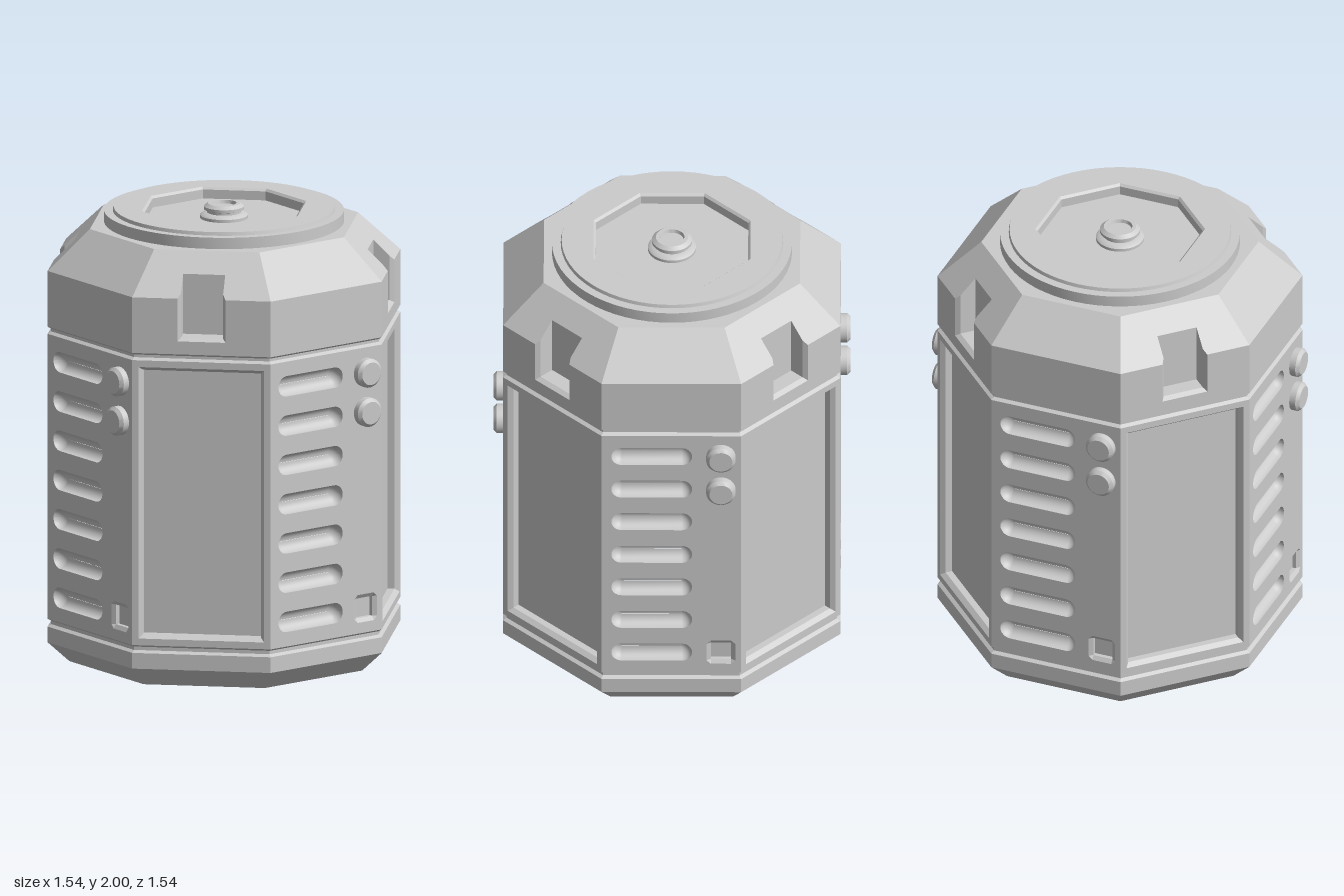
import * as THREE from 'three';
import { toCreasedNormals } from 'three/addons/utils/BufferGeometryUtils.js';

const smooth = new THREE.MeshStandardMaterial({ color: 0xcccccc });
const flat = new THREE.MeshStandardMaterial({ color: 0xcccccc, flatShading: true });

const A = 0.73;                              // distance from axis to each side wall
const T = Math.tan(Math.PI / 8);
const HALF = A * T;                          // half width of a side wall
const BODY = [0.195, 1.465], SHOULDER = [1.497, 1.745, 1.92];
const TOP = 0.555;                           // centre to side of the top octagon

const V2 = (p) => new THREE.Vector2(p[0], p[1]);

function add(parent, name, geometry, material = flat) {
  const mesh = new THREE.Mesh(geometry, material);
  mesh.name = name;
  parent.add(mesh);
  return mesh;
}

// Eight-sided lathe; profile gives [distance to side, y]
function octagonal(profile) {
  const k = 1 / Math.cos(Math.PI / 8);
  return new THREE.LatheGeometry(profile.map(([a, y]) => new THREE.Vector2(a * k, y)), 8, Math.PI / 8);
}

// Round lathe with sharp edges kept
const round = (profile, segments) =>
  toCreasedNormals(new THREE.LatheGeometry(profile.map(V2), segments), 0.5);

// Rounded rectangle outline, counter-clockwise, shrunk by inset
function outline({ x, y, w, h, r = 0, seg = 0 }, inset = 0) {
  const pts = [], rad = Math.max(r - inset, 0);
  const hw = w - inset - rad, hh = h - inset - rad;
  [[1, 1], [-1, 1], [-1, -1], [1, -1]].forEach(([sx, sy], q) => {
    for (let i = 0; i <= seg; i++) {
      const a = (q + (seg ? i / seg : 0.5)) * Math.PI / 2;
      pts.push([x + sx * hw + rad * Math.cos(a), y + sy * hh + rad * Math.sin(a)]);
    }
  });
  return pts;
}

// Flat sheet with openings
function sheet(points, holes = []) {
  const shape = new THREE.Shape(points.map(V2));
  holes.forEach((h) => shape.holes.push(new THREE.Path(h.map(V2))));
  return new THREE.ShapeGeometry(shape);
}

// Sides of a recess, lofted through rings of [outline, z]
function loft(rings) {
  const n = rings[0][0].length, pos = [], idx = [];
  rings.forEach(([pts, z]) => pts.forEach((p) => pos.push(p[0], p[1], z)));
  for (let k = 0; k < rings.length - 1; k++) {
    for (let i = 0; i < n; i++) {
      const a = k * n + i, b = k * n + (i + 1) % n;
      idx.push(a, b, b + n, a, b + n, a + n);
    }
  }
  const g = new THREE.BufferGeometry();
  g.setAttribute('position', new THREE.Float32BufferAttribute(pos, 3));
  g.setIndex(idx);
  g.computeVertexNormals();
  return g;
}

// Recess with straight steps [inset, depth] and a flat floor
function recess(parent, name, spec, steps) {
  const rings = steps.map(([inset, d]) => [outline(spec, inset), -d]);
  const last = rings[rings.length - 1];
  add(parent, name + 'Sides', loft(rings));
  add(parent, name + 'Floor', sheet(last[0])).position.z = last[1];
}

// Convex polygons given as corner lists
function polygons(list) {
  const pos = [];
  list.forEach((p) => {
    for (let i = 1; i < p.length - 1; i++) pos.push(...p[0], ...p[i], ...p[i + 1]);
  });
  const g = new THREE.BufferGeometry();
  g.setAttribute('position', new THREE.Float32BufferAttribute(pos, 3));
  g.computeVertexNormals();
  return g;
}

const rect = (y0, y1) => [[-HALF, y0], [HALF, y0], [HALF, y1], [-HALF, y1]];

// Wall with vents, two buttons and a square socket
function ventWall(side) {
  const r = 0.045, vents = [];
  for (let i = 0; i < 7; i++) {
    vents.push({ x: -0.085, y: 0.305 + i * 0.175, w: 0.175, h: r + 0.0005, r, seg: 8 });
  }
  const socket = { x: 0.215, y: 0.305, w: 0.062, h: 0.062, r: 0.018, seg: 1 };
  add(side, 'ventWall', sheet(rect(...BODY), [...vents, socket].map((s) => outline(s))));
  vents.forEach((v) => {
    const rings = [];
    for (let k = 0; k <= 8; k++) {
      const a = k / 8 * Math.PI / 2;
      rings.push([outline(v, r * (1 - Math.cos(a))), -r * Math.sin(a)]);
    }
    add(side, 'vent', loft(rings), smooth);
  });
  recess(side, 'socket', socket, [[0, 0], [0.018, 0.012], [0.018, 0.03]]);
  const profile = [[0.064, -0.01], [0.064, 0.028], [0.05, 0.042], [0, 0.042]];
  [1.18, 1.355].forEach((y) => {
    const b = add(side, 'button', round(profile, 32), smooth);
    b.rotation.x = Math.PI / 2;
    b.position.set(0.215, y, 0);
  });
}

// Wall with a tall framed panel
function panelWall(side) {
  const panel = { x: 0, y: 0.83, w: 0.274, h: 0.605 };
  add(side, 'panelFrame', sheet(rect(...BODY), [outline(panel)]));
  recess(side, 'panel', panel, [[0, 0], [0.016, 0.02], [0.016, 0.05]]);
}

// Shoulder face above each wall; notched ones carry a grip pocket
function shoulder(side, notched) {
  const [y0, y1, y2] = SHOULDER, t = TOP * T;
  const o = 0.105, n = 0.092, b = 1.555, c = 1.568, e = 0.02, d = 0.09;
  const cut = notched ? [[o, y1], [o, b], [-o, b], [-o, y1]] : [];
  const slopeCut = notched
    ? [[-o, y1], [-n, y1 + e], [-n, y1 + d], [n, y1 + d], [n, y1 + e], [o, y1]] : [];
  add(side, 'shoulderWall', sheet([[-HALF, y0], [HALF, y0], [HALF, y1], ...cut, [-HALF, y1]]));
  const slope = sheet([[-HALF, y1], ...slopeCut, [HALF, y1], [t, y2], [-t, y2]]);
  const p = slope.attributes.position;
  for (let i = 0; i < p.count; i++) p.setZ(i, -(p.getY(i) - y1) * (A - TOP) / (y2 - y1));
  slope.computeVertexNormals();
  add(side, 'shoulderSlope', slope);
  if (!notched) return;
  const faces = [
    [[-o, b, 0], [o, b, 0], [n, c, -e], [-n, c, -e]],
    [[-n, c, -e], [n, c, -e], [n, c, -d], [-n, c, -d]],
    [[-n, c, -d], [n, c, -d], [n, y1 + d, -d], [-n, y1 + d, -d]],
  ];
  const right = [
    [[o, b, 0], [o, y1, 0], [n, y1 + e, -e], [n, c, -e]],
    [[n, c, -e], [n, y1 + e, -e], [n, y1 + d, -d], [n, c, -d]],
  ];
  const left = right.map((f) => f.map(([x, y, z]) => [-x, y, z]).reverse());
  add(side, 'gripPocket', polygons([...faces, ...right, ...left]));
}

export function createModel() {
  const model = new THREE.Group();
  model.name = 'octagonalCanister';

  // Base and the grooves between sections
  add(model, 'base', octagonal([[0, 0], [0.64, 0], [A, 0.09], [A, 0.16],
    [0.715, 0.17], [0.715, 0.185], [A, BODY[0]]]));
  add(model, 'upperGroove', octagonal([[A, BODY[1]], [0.715, 1.475], [0.715, 1.487], [A, SHOULDER[0]]]));

  // Eight sides, alternating vents and panels
  for (let k = 0; k < 8; k++) {
    const side = new THREE.Group(), a = k * Math.PI / 4;
    side.name = k % 2 ? 'panelSide' : 'ventSide';
    side.rotation.y = a;
    side.position.set(A * Math.sin(a), 0, A * Math.cos(a));
    (k % 2 ? panelWall : ventWall)(side);
    shoulder(side, k % 2 === 1);
    model.add(side);
  }

  // Top deck and round lid with an octagonal well
  add(model, 'topDeck', octagonal([[TOP, 1.92], [0.4, 1.92]]));
  add(model, 'lidRim', round([[0.52, 1.915], [0.52, 1.97], [0.482, 1.97], [0.478, 1.985], [0.4, 1.985]], 64), smooth);
  const ring = new THREE.Shape().absarc(0, 0, 0.402, 0, Math.PI * 2);
  const well = [];
  for (let i = 0; i < 8; i++) {
    const a = (i + 0.5) * Math.PI / 4, r = 0.34 / Math.cos(Math.PI / 8);
    well.push(new THREE.Vector2(r * Math.cos(a), r * Math.sin(a)));
  }
  ring.holes.push(new THREE.Path(well));
  const lid = add(model, 'lidTop', new THREE.ShapeGeometry(ring, 32));
  lid.rotation.x = -Math.PI / 2;
  lid.position.y = 1.985;
  add(model, 'lidWell', octagonal([[0.34, 1.985], [0.33, 1.975], [0.33, 1.935], [0, 1.935]]));

  // Centre knob
  add(model, 'knob', round([[0.104, 1.93], [0.104, 1.948], [0.092, 1.957], [0.074, 1.96], [0.074, 1.97],
    [0.087, 1.974], [0.087, 1.987], [0.07, 2], [0.054, 2], [0.05, 1.985], [0, 1.985]], 40), smooth);

  return model;
}
